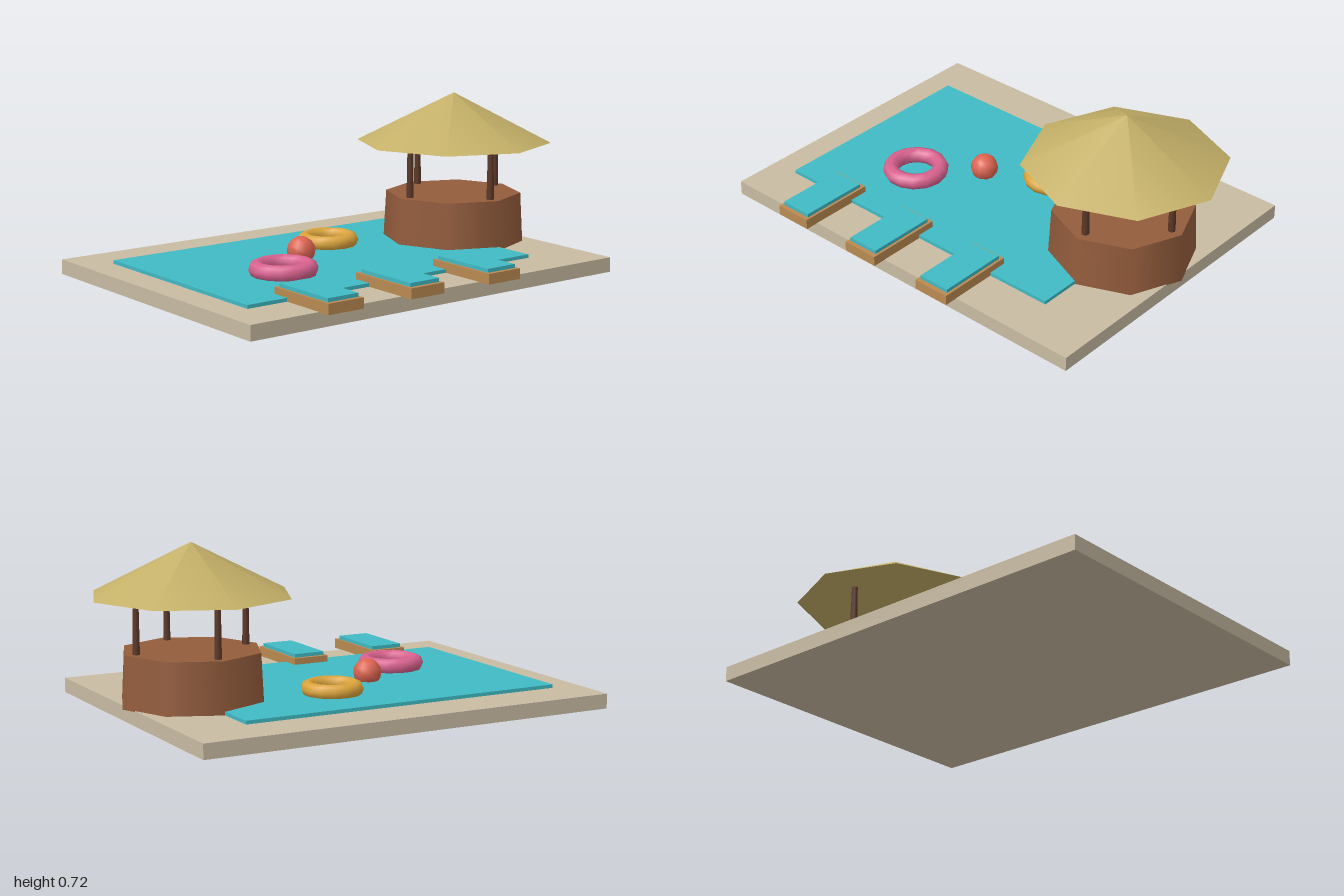
import * as THREE from 'three';

export function createModel() {
  const model = new THREE.Group();
  model.name = 'poolside';

  const material = (name, color) => {
    const m = new THREE.MeshStandardMaterial({ color });
    m.name = name;
    return m;
  };
  const stone = material('stone', 0xc8bba2);
  const aqua = material('aqua', 0x40bac4);
  const thatch = material('thatch', 0xc4b068);
  const wood = material('wood', 0x935c3c);
  const darkWood = material('dark wood', 0x5c3828);
  const lightWood = material('light wood', 0xba8a52);
  const pink = material('pink', 0xd8628f);
  const yellow = material('yellow', 0xdba43c);
  const red = material('red', 0xdc6450);

  const add = (parent, name, geometry, mat, x, y, z) => {
    const mesh = new THREE.Mesh(geometry, mat);
    mesh.name = name;
    mesh.position.set(x, y, z);
    parent.add(mesh);
    return mesh;
  };
  // Box given by its centre in plan and its bottom and top heights
  const slab = (parent, name, mat, w, d, x, z, y0, y1) =>
    add(parent, name, new THREE.BoxGeometry(w, y1 - y0, d), mat, x, (y0 + y1) / 2, z);

  // Deck and water
  slab(model, 'deck', stone, 1.855, 1.39, -0.0725, -0.031, 0, 0.063);
  slab(model, 'poolWater', aqua, 1.445, 0.98, -0.148, -0.031, 0.05, 0.078);

  // Round bar with a thatched roof on four posts
  const hut = new THREE.Group();
  hut.name = 'bar';
  hut.position.set(0.573, 0, -0.031);
  model.add(hut);
  add(hut, 'counter', new THREE.CylinderGeometry(0.296, 0.308, 0.219, 8), wood, 0, 0.1685, 0);
  add(hut, 'roof', new THREE.ConeGeometry(0.425, 0.215, 8), thatch, 0, 0.61, 0);
  const post = new THREE.CylinderGeometry(0.0125, 0.016, 0.245, 8);
  for (let i = 0; i < 4; i++) {
    const a = (i * Math.PI) / 2;
    add(hut, 'post', post, darkWood, 0.245 * Math.cos(a), 0.3825, 0.245 * Math.sin(a));
  }

  // Floating rings
  const ring = (name, mat, radius, tube, x, y, z, turn) => {
    const geometry = new THREE.TorusGeometry(radius, tube, 8, 14);
    geometry.rotateZ(turn).rotateX(Math.PI / 2);
    add(model, name, geometry, mat, x, y, z);
  };
  ring('pinkRing', pink, 0.109, 0.035, -0.46, 0.102, 0.122, 0);
  ring('yellowRing', yellow, 0.1, 0.032, 0.03, 0.1, -0.228, Math.PI / 14);

  // Beach ball
  add(model, 'ball', new THREE.SphereGeometry(0.06, 10, 8), red, -0.23, 0.113, -0.07);

  // Loungers with cushions
  for (const x of [-0.602, -0.202, 0.198]) {
    const lounger = new THREE.Group();
    lounger.name = 'lounger';
    lounger.position.set(x, 0, 0.549);
    model.add(lounger);
    slab(lounger, 'loungerBase', lightWood, 0.167, 0.346, 0, 0, 0.062, 0.106);
    slab(lounger, 'cushion', aqua, 0.145, 0.308, 0, 0, 0.104, 0.122);
  }

  return model;
}
